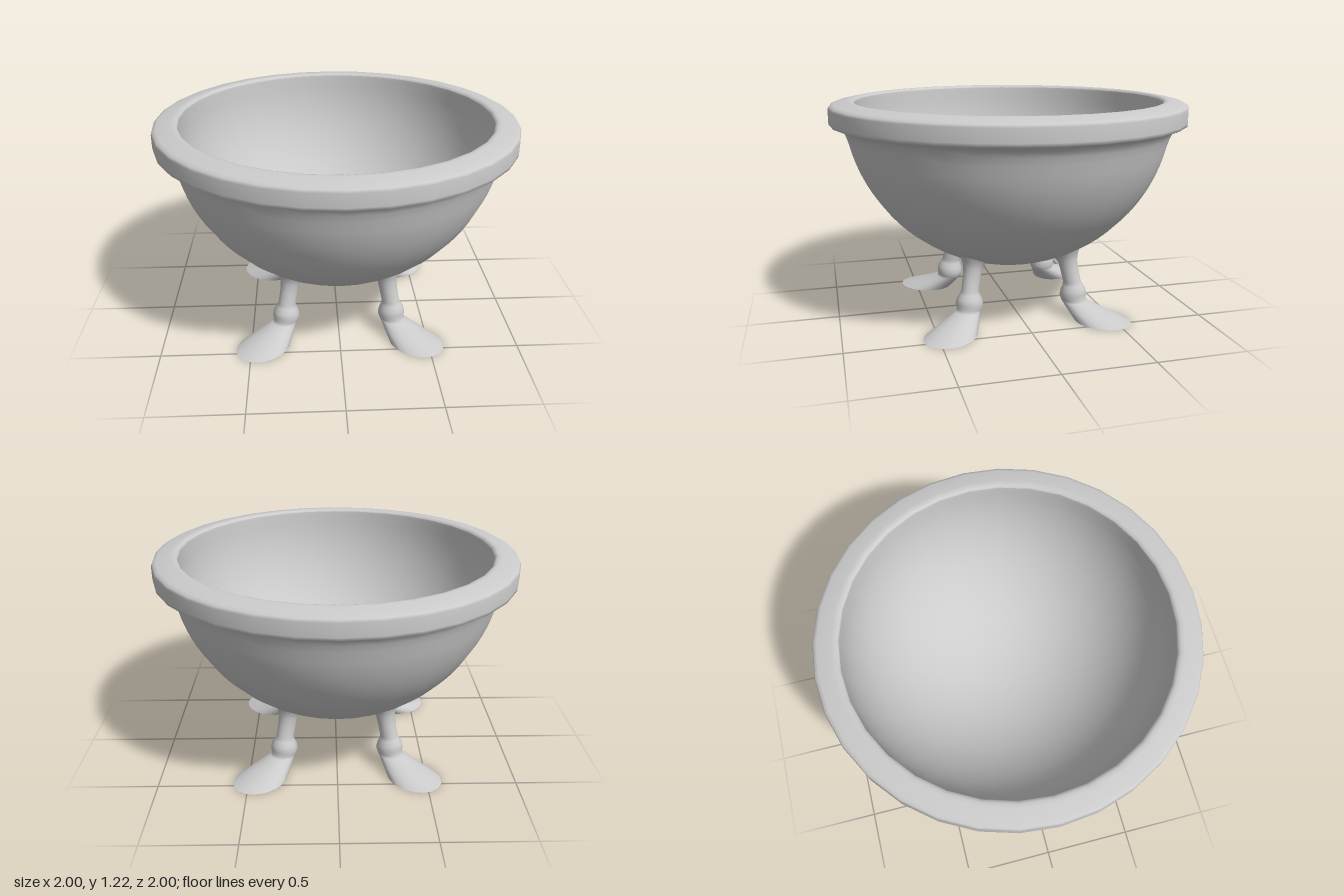
import * as THREE from 'three';

const material = new THREE.MeshStandardMaterial({ color: 0xcccccc, side: THREE.DoubleSide });
const SEGMENTS = 32;
const CENTER_Y = 1.2; // centre of the bowl's spheres

function lathe(name, points) {
  const profile = points.map(([r, y]) => new THREE.Vector2(r, y));
  const mesh = new THREE.Mesh(new THREE.LatheGeometry(profile, SEGMENTS), material);
  mesh.name = name;
  return mesh;
}

// Arc of a sphere profile, angles measured from straight down
function arc(radius, from, to, steps = 20) {
  return Array.from({ length: steps + 1 }, (_, i) => {
    const a = from + ((to - from) * i) / steps;
    return [radius * Math.sin(a), CENTER_Y - radius * Math.cos(a)];
  });
}

// Leg rings from top to bottom: height, distance out, half length, half width, tilt
const LEG_RINGS = [
  [0.378, 0.38, 0.085, 0.08, 0.45],
  [0.355, 0.383, 0.066, 0.062, 0.35],
  [0.325, 0.39, 0.055, 0.052, 0.2],
  [0.28, 0.4, 0.052, 0.049, 0.1],
  [0.205, 0.42, 0.051, 0.047, 0.1],
  [0.185, 0.424, 0.058, 0.056, 0.1],
  [0.16, 0.427, 0.071, 0.07, 0.1],
  [0.13, 0.428, 0.077, 0.076, 0.1],
  [0.105, 0.43, 0.07, 0.069, 0.1],
  [0.09, 0.442, 0.072, 0.068, 0.08],
  [0.05, 0.52, 0.112, 0.099, 0.03],
  [0.005, 0.615, 0.164, 0.135, 0],
];

// Hollow leg with a knobbed ankle and a flared, open foot
function legGeometry(sides = 20) {
  const positions = [];
  const index = [];
  LEG_RINGS.forEach(([y, out, length, width, tilt], i) => {
    for (let j = 0; j < sides; j++) {
      const t = (j / sides) * Math.PI * 2;
      const dx = length * Math.cos(t);
      positions.push(out + dx, y + tilt * dx, width * Math.sin(t));
      if (i === LEG_RINGS.length - 1) continue;
      const a = i * sides + j;
      const b = i * sides + ((j + 1) % sides);
      index.push(a, b, a + sides, b, b + sides, a + sides);
    }
  });
  const geometry = new THREE.BufferGeometry();
  geometry.setAttribute('position', new THREE.Float32BufferAttribute(positions, 3));
  geometry.setIndex(index);
  geometry.computeVertexNormals();
  return geometry;
}

export function createModel() {
  const model = new THREE.Group();
  model.name = 'footedBowl';

  // Bowl outside, flaring out under the rim
  model.add(lathe('bowlOutside', [
    ...arc(0.92, 0, 1.35),
    [0.912, 1.04], [0.925, 1.068], [0.945, 1.085], [0.985, 1.098],
  ]));

  // Rim band with a softened top edge
  model.add(lathe('rim', [
    [0.985, 1.098], [0.998, 1.104], [1, 1.12], [1, 1.19], [0.994, 1.203],
    [0.975, 1.213], [0.9, 1.228], [0.88, 1.228], [0.868, 1.224], [0.862, 1.215],
  ]));

  // Bowl inside
  model.add(lathe('bowlInside', [[0.862, 1.215], ...arc(0.86, Math.PI / 2, 0)]));

  // Four legs on the diagonals
  const geometry = legGeometry();
  for (let k = 0; k < 4; k++) {
    const leg = new THREE.Mesh(geometry, material);
    leg.name = `leg${k + 1}`;
    leg.rotation.y = Math.PI / 4 + (k * Math.PI) / 2;
    model.add(leg);
  }
  return model;
}
